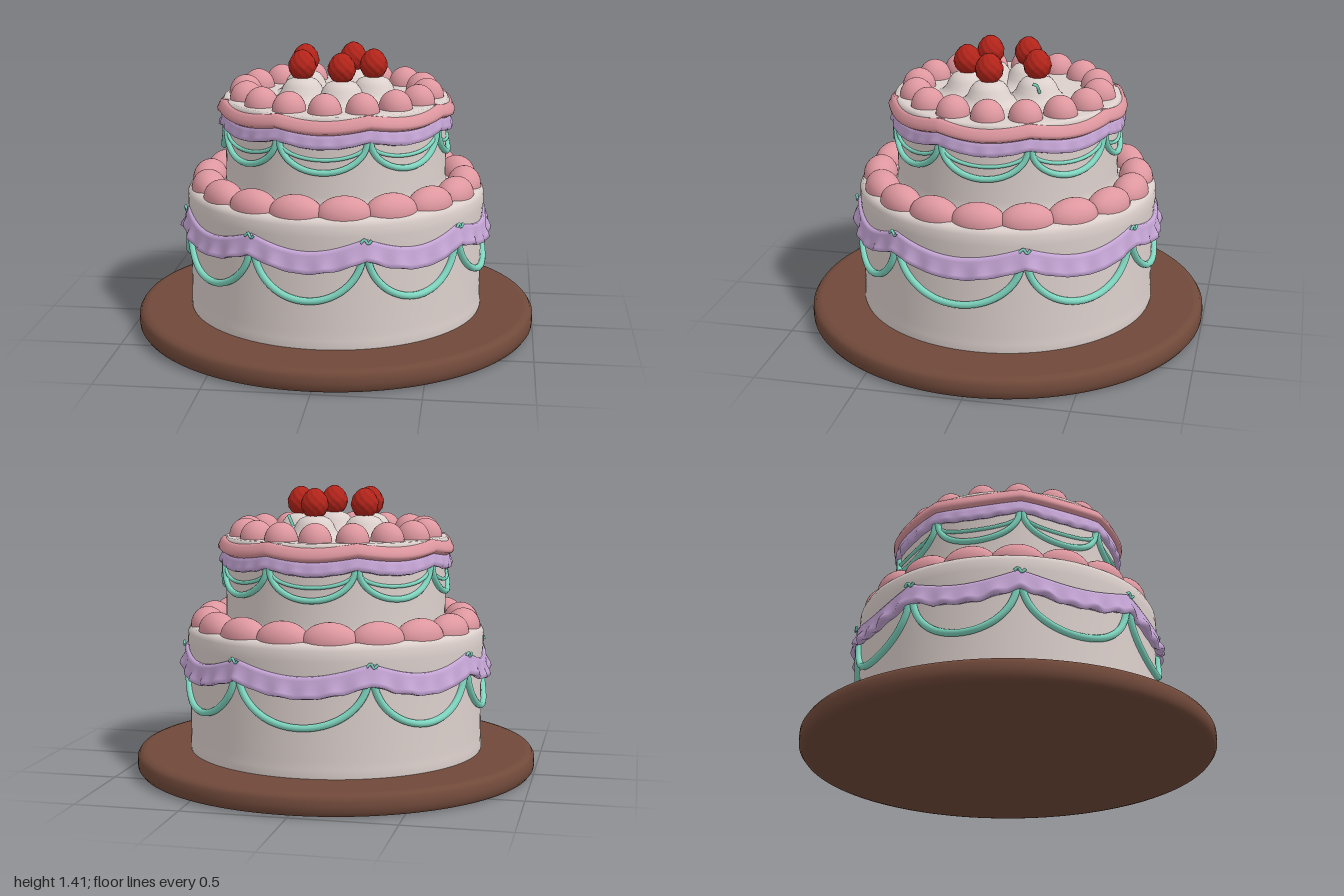
import * as THREE from 'three';

const mat = (name, color) => Object.assign(new THREE.MeshStandardMaterial({ color }), { name });
const TAU = Math.PI * 2;

export function createModel() {
  const root = new THREE.Group();
  root.name = 'cake';
  const cream = mat('cream icing', 0xdcd0cc);
  const pink = mat('pink icing', 0xde979f);
  const lilac = mat('lilac icing', 0xc6a6d6);
  const mint = mat('mint icing', 0x7fd6c0);
  const brown = mat('brown board', 0x70493a);
  const red = mat('strawberry red', 0xb3241a);

  const add = (name, geo, material, parent = root) => {
    const m = new THREE.Mesh(geo, material);
    m.name = name;
    parent.add(m);
    return m;
  };
  const group = (name) => {
    const g = new THREE.Group();
    g.name = name;
    root.add(g);
    return g;
  };
  const lathe = (pts, seg = 96) =>
    new THREE.LatheGeometry(pts.map((p) => new THREE.Vector2(p[0], p[1])), seg);
  // Angles run from +z towards +x
  const polar = (a, r, y) => new THREE.Vector3(r * Math.sin(a), y, r * Math.cos(a));

  // Board and the two tiers
  add('board', lathe([[0, 0.01], [0.96, 0.01], [0.985, 0.017], [0.998, 0.035], [1, 0.06],
    [0.998, 0.09], [0.985, 0.11], [0.96, 0.117], [0.95, 0.118], [0, 0.118]], 128), brown);
  add('lowerTier', lathe([[0.73, 0.11], [0.735, 0.125], [0.733, 0.16], [0.731, 0.2], [0.731, 0.5],
    [0.735, 0.6], [0.74, 0.66], [0.738, 0.71], [0.725, 0.735], [0.7, 0.742], [0.68, 0.742], [0.5, 0.742]]), cream);
  add('upperTier', lathe([[0.56, 0.73], [0.55, 0.76], [0.547, 0.8], [0.547, 1.05], [0.555, 1.12],
    [0.56, 1.16], [0.55, 1.178], [0.53, 1.18], [0.5, 1.18], [0, 1.18]]), cream);

  // Piped pink borders on each tier
  const border = (name, n, start, r, y, size) => {
    const g = group(name);
    const geo = new THREE.SphereGeometry(1, 28, 18);
    for (let i = 0; i < n; i++) {
      const a = start + (i / n) * TAU;
      const b = add('icingBlob', geo, pink, g);
      b.position.copy(polar(a, r, y));
      b.rotation.y = a;
      b.scale.set(...size);
    }
  };
  border('lowerBorder', 18, Math.PI / 2, 0.64, 0.74, [0.13, 0.09, 0.085]);
  border('upperBorder', 16, 0, 0.45, 1.18, [0.08, 0.088, 0.082]);

  // Swag nodes of each tier, in degrees
  const lowerNodes = [17, 57, 108, 154, 205, 249, 290, 335].map((d) => (d * Math.PI) / 180);
  const upperNodes = Array.from({ length: 8 }, (_, i) => ((i + 0.5) / 8) * TAU);

  // 0 at a node, 1 halfway along a swag
  const sag = (nodes, a) => {
    for (let i = 0; i < nodes.length; i++) {
      const a0 = nodes[i];
      const span = (nodes[(i + 1) % nodes.length] - a0 + TAU) % TAU;
      const d = (a - a0 + TAU) % TAU;
      if (d < span) return Math.sin((Math.PI * d) / span);
    }
    return 0;
  };

  // Closed icing band: a counterclockwise [radius, y, ruffle] section swept around the cake
  const band = (name, section, nodes, depth, ruffle, material) => {
    const n = 320, m = section.length, pos = [], idx = [];
    for (let i = 0; i < n; i++) {
      const a = (i / n) * TAU;
      const drop = depth * sag(nodes, a);
      const wob = ruffle * (Math.sin(a * 40) + 0.5 * Math.sin(a * 23 + 1));
      for (let j = 0; j < m; j++) {
        const [r, y, k] = section[j];
        pos.push(...polar(a, r + wob * k, y - drop + wob * k * 0.6).toArray());
        const i2 = ((i + 1) % n) * m, j2 = (j + 1) % m;
        idx.push(i * m + j, i2 + j, i2 + j2, i * m + j, i2 + j2, i * m + j2);
      }
    }
    const geo = new THREE.BufferGeometry();
    geo.setAttribute('position', new THREE.Float32BufferAttribute(pos, 3));
    geo.setIndex(idx);
    geo.computeVertexNormals();
    add(name, geo, material);
  };
  band('lowerRibbon', [[0.71, 0.57, 0], [0.755, 0.55, 0.6], [0.772, 0.555, 1], [0.768, 0.575, 0.8],
    [0.755, 0.605, 0.2], [0.753, 0.635, 0], [0.745, 0.652, 0], [0.71, 0.655, 0]], lowerNodes, 0.06, 0.008, lilac);
  band('upperRibbon', [[0.53, 1.07, 0], [0.562, 1.055, 0.5], [0.575, 1.06, 1], [0.575, 1.08, 0.6],
    [0.566, 1.105, 0], [0.565, 1.13, 0], [0.53, 1.14, 0]], upperNodes, 0.03, 0.004, lilac);
  band('upperRim', [[0.54, 1.115, 0], [0.565, 1.115, 0], [0.583, 1.125, 0], [0.586, 1.14, 0],
    [0.578, 1.155, 0], [0.572, 1.17, 0], [0.56, 1.182, 0], [0.54, 1.182, 0]], upperNodes, 0.022, 0, pink);

  // Hanging mint swags
  const swags = (name, nodes, r, top, depth, thick) => {
    const g = group(name);
    nodes.forEach((a0, i) => {
      const span = (nodes[(i + 1) % nodes.length] - a0 + TAU) % TAU;
      const pts = Array.from({ length: 17 }, (_, k) => {
        const u = (Math.PI * k) / 16;
        return polar(a0 + span * (0.5 - 0.48 * Math.cos(u)), r, top - depth * Math.sin(u));
      });
      add('swag', new THREE.TubeGeometry(new THREE.CatmullRomCurve3(pts), 40, thick, 10), mint, g);
    });
  };
  swags('lowerSwags', lowerNodes, 0.74, 0.59, 0.235, 0.017);
  swags('upperSwags', upperNodes, 0.555, 1.06, 0.145, 0.015);
  swags('upperInnerSwags', upperNodes, 0.551, 1.05, 0.075, 0.009);

  // Small curls where the lower swags meet
  const curls = group('swagCurls');
  for (const a of lowerNodes) {
    const pts = [[-0.035, 0.64], [-0.01, 0.655], [0.012, 0.635], [0.035, 0.65]]
      .map(([d, y]) => polar(a + d, 0.757, y));
    add('curl', new THREE.TubeGeometry(new THREE.CatmullRomCurve3(pts), 12, 0.007, 6), mint, curls);
  }

  // Strawberries with pitted skin, each on a cream dollop
  const berryGeo = new THREE.SphereGeometry(1, 40, 28);
  const p = berryGeo.attributes.position;
  const v = new THREE.Vector3();
  for (let i = 0; i < p.count; i++) {
    v.fromBufferAttribute(p, i);
    const around = Math.atan2(v.z, v.x);
    const ring = Math.sqrt(Math.max(0, 1 - v.y * v.y));
    const pit = 1 + 0.05 * Math.sin(around * 9) * Math.sin(v.y * 11) * ring;
    const taper = v.y > 0 ? 1 - 0.15 * v.y : 1;
    p.setXYZ(i, v.x * 0.067 * pit * taper, v.y * 0.074 * pit, v.z * 0.067 * pit * taper);
  }
  berryGeo.computeVertexNormals();
  const dollopGeo = lathe([[0.15, 0], [0.125, 0.012], [0.105, 0.035], [0.092, 0.065], [0.072, 0.09],
    [0.04, 0.104], [0, 0.108]], 32);
  const topping = group('topping');
  [[-0.16, -0.07], [-0.15, 0.12], [0.05, 0.19], [0.19, 0.05], [0.07, -0.16]].forEach(([x, z], i) => {
    add('dollop', dollopGeo, cream, topping).position.set(x, 1.178, z);
    const b = add('strawberry', berryGeo, red, topping);
    b.position.set(x, 1.342, z);
    b.rotation.y = i * 1.3;
  });
  const leaf = [[0.17, 1.23, -0.19], [0.19, 1.27, -0.18], [0.2, 1.28, -0.16]].map((q) => new THREE.Vector3(...q));
  add('mintCurl', new THREE.TubeGeometry(new THREE.CatmullRomCurve3(leaf), 10, 0.008, 6), mint, topping);

  return root;
}
